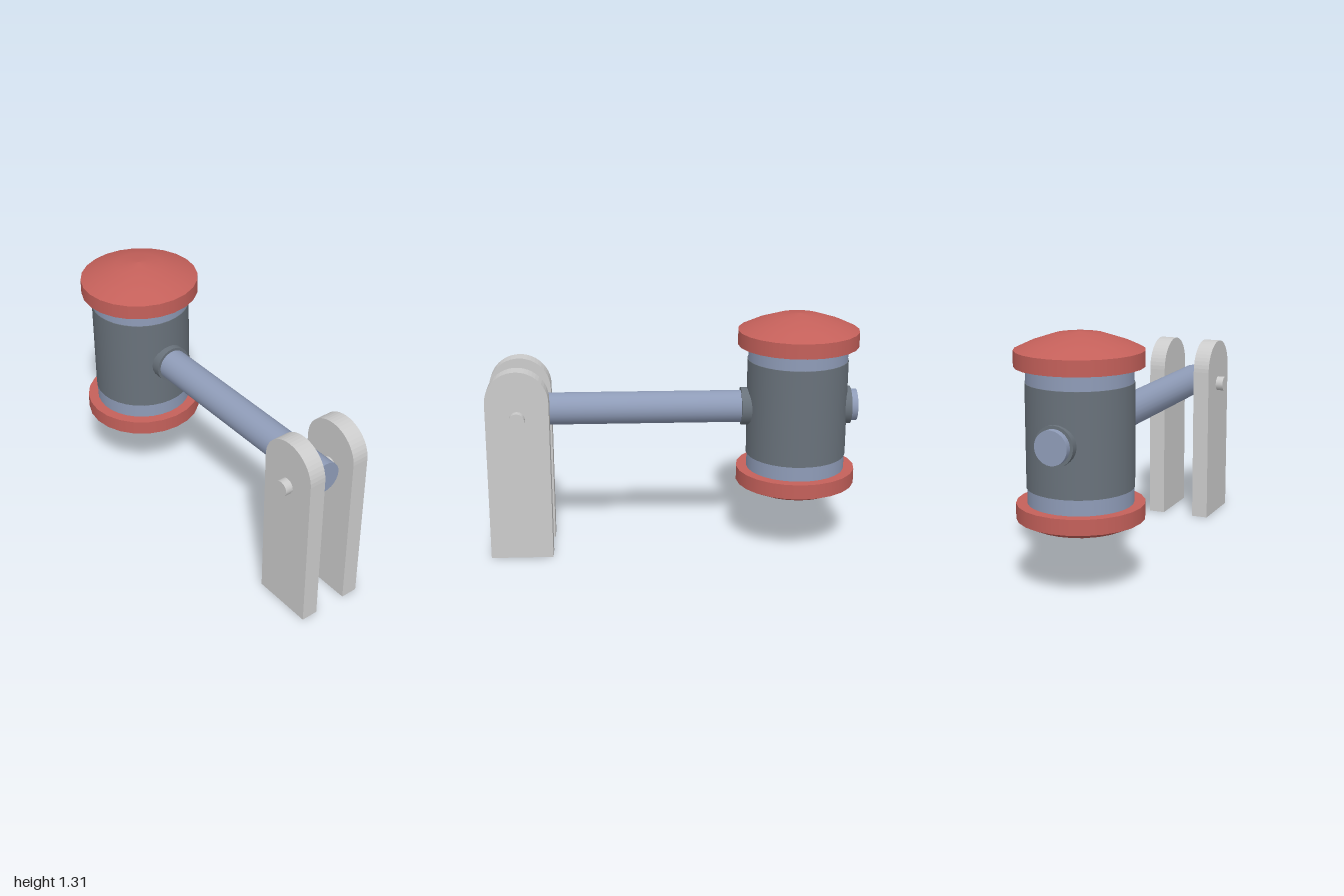
import * as THREE from 'three';

const material = (color) => new THREE.MeshStandardMaterial({ color });
const RED = material(0xc4605a);
const STEEL = material(0x8f9cb8);
const DARK = material(0x69727b);
const GREY = material(0xcccccc);

const HEAD_X = -0.675, AXIS_Y = 0.793, PIVOT_X = 0.83;

function add(parent, name, geometry, mat, x = 0, y = 0, z = 0) {
  const mesh = new THREE.Mesh(geometry, mat);
  mesh.name = name;
  mesh.position.set(x, y, z);
  parent.add(mesh);
  return mesh;
}

// Rim and shallow dome closing one end of the head
function makeCap(name) {
  const cap = new THREE.Group();
  cap.name = name;
  add(cap, 'capRim', new THREE.CylinderGeometry(0.325, 0.325, 0.08, 24), RED, 0, 0.385, 0);
  const profile = [[0.325, 0.425], [0.25, 0.46], [0.13, 0.5], [0, 0.515]]
    .map(([r, y]) => new THREE.Vector2(r, y));
  add(cap, 'capDome', new THREE.LatheGeometry(profile, 24), RED);
  return cap;
}

export function createModel() {
  const model = new THREE.Group();
  model.name = 'pivotedHammer';

  // Head: barrel, dark sleeve and two mirrored caps
  const head = new THREE.Group();
  head.name = 'head';
  head.position.set(HEAD_X, AXIS_Y, 0);
  model.add(head);
  add(head, 'barrel', new THREE.CylinderGeometry(0.268, 0.268, 0.7, 32), STEEL);
  add(head, 'sleeve', new THREE.CylinderGeometry(0.272, 0.272, 0.53, 32), DARK);
  head.add(makeCap('topCap'));
  const bottomCap = makeCap('bottomCap');
  bottomCap.rotation.x = Math.PI;
  head.add(bottomCap);

  // Collar through the head, showing on both sides around the handle
  const collar = new THREE.CylinderGeometry(0.103, 0.103, 0.596, 24).rotateZ(Math.PI / 2);
  add(model, 'collar', collar, DARK, -0.667, AXIS_Y, 0);

  // Handle
  const handle = new THREE.CylinderGeometry(0.087, 0.087, 1.903, 24).rotateZ(Math.PI / 2);
  add(model, 'handle', handle, STEEL, -0.0485, AXIS_Y, 0);

  // Two round-topped posts either side of the handle
  const outline = new THREE.Shape();
  outline.moveTo(-0.168, 0);
  outline.lineTo(0.168, 0);
  outline.lineTo(0.168, 0.882);
  outline.absarc(0, 0.882, 0.168, 0, Math.PI, false);
  outline.closePath();
  const post = new THREE.ExtrudeGeometry(outline, { depth: 0.093, bevelEnabled: false, curveSegments: 12 })
    .translate(0, 0, -0.0465);
  for (const side of [1, -1]) {
    add(model, side > 0 ? 'frontPost' : 'backPost', post, GREY, PIVOT_X, 0, side * 0.1385);
  }

  // Pivot pin
  const pin = new THREE.CylinderGeometry(0.042, 0.042, 0.454, 16).rotateX(Math.PI / 2);
  add(model, 'pivotPin', pin, GREY, PIVOT_X, AXIS_Y, 0);

  return model;
}
